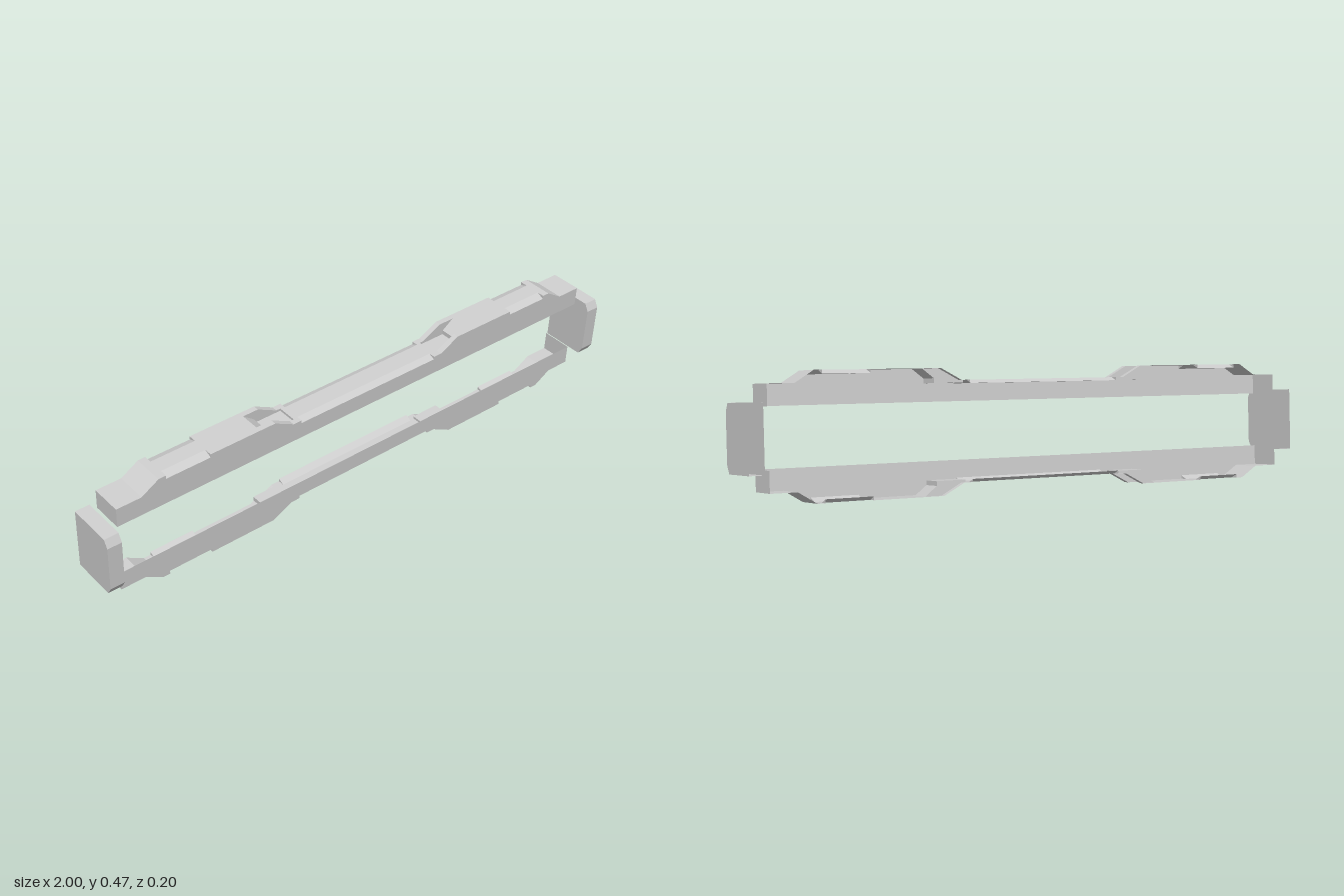
import * as THREE from 'three';

// Half sizes of the rail and its pockets
const HALF_Z = 0.052, POCKET_Z = 0.033, BASE_Y = 0.091, LOW = 0.156, HIGH = 0.1925;

// One half of the rail from the middle outwards: x, height, edge chamfer width, pocket depth
const HALF = [
  [0, LOW, 0.022, 0], [0.27, LOW, 0.022, 0], [0.27, LOW, 0, 0],
  [0.285, LOW, 0, 0], [0.285, LOW, 0, 0.008], [0.3, LOW, 0, 0.008],
  [0.37, HIGH, 0, 0.0445], [0.385, HIGH, 0, 0.0445], [0.385, HIGH, 0, 0.03], [0.425, HIGH, 0, 0],
  [0.605, HIGH, 0, 0], [0.605, HIGH, 0.026, 0], [0.76, HIGH, 0.026, 0], [0.76, HIGH, 0, 0],
  [0.785, HIGH, 0, 0], [0.845, LOW, 0, 0], [0.93, LOW, 0, 0],
];

// Joins equal rings of points along x with flat faces and closes both ends;
// the ring edges listed in open are left without a wall
function loft(rings, open) {
  const pos = [];
  const tri = (a, b, c) => pos.push(...a, ...b, ...c);
  const n = rings[0].length;
  for (let i = 0; i < rings.length - 1; i++) {
    const a = rings[i], b = rings[i + 1];
    for (let j = 0; j < n; j++) {
      if (open.includes(j)) continue;
      const k = (j + 1) % n;
      tri(a[j], a[k], b[k]);
      tri(a[j], b[k], b[j]);
    }
  }
  const first = rings[0], last = rings[rings.length - 1];
  for (let j = 1; j < n - 1; j++) {
    tri(first[0], first[j + 1], first[j]);
    tri(last[0], last[j], last[j + 1]);
  }
  const g = new THREE.BufferGeometry();
  g.setAttribute('position', new THREE.Float32BufferAttribute(pos, 3));
  g.computeVertexNormals();
  return g;
}

// Rail cross-section, running from the back base over the top to the front base
function section([x, h, c, d]) {
  const side = [
    [-HALF_Z, BASE_Y], [-HALF_Z, h - c * 0.45], [-HALF_Z + c, h],
    [-POCKET_Z + Math.max(0, c - 0.019), h], [-POCKET_Z + Math.max(0, c - 0.019), h - d],
  ];
  const other = side.map(([z, y]) => [-z, y]).reverse();
  return [...side, ...other].map(([z, y]) => [x, y, z]);
}

// Thin rail shell, open at the back and towards the middle of the frame
function railGeometry() {
  const mirrored = HALF.slice(1).reverse().map(([x, ...rest]) => [-x, ...rest]);
  return loft([...mirrored, ...HALF].map(section), [0, 9]);
}

// End plate with chamfered front corners, open at the back
function capGeometry() {
  const outline = [
    [-0.079, -0.103], [-0.079, 0.103], [0.0705, 0.103],
    [0.085, 0.077], [0.085, -0.077], [0.0705, -0.103],
  ];
  return loft([-0.024, 0.024].map((x) => outline.map(([z, y]) => [x, y, z])), [0]);
}

export function createModel() {
  const grey = new THREE.MeshStandardMaterial({ color: 0xcccccc, side: THREE.DoubleSide });
  grey.name = 'plainGrey';
  const model = new THREE.Group();
  model.name = 'trimFrame';
  const frame = new THREE.Group();
  frame.name = 'tiltedFrame';
  model.add(frame);

  const add = (name, geometry, x, z) => {
    const mesh = new THREE.Mesh(geometry, grey);
    mesh.name = name;
    mesh.position.set(x, 0, z);
    frame.add(mesh);
    return mesh;
  };

  // Upper rail and its mirror image below
  const rail = railGeometry();
  add('upperRail', rail, 0, -0.015);
  add('lowerRail', rail, 0, -0.018).scale.y = -1;

  // End plates
  const cap = capGeometry();
  add('leftEndPlate', cap, 0.971, 0);
  add('rightEndPlate', cap, -0.971, 0);

  // The whole frame leans forward and rises towards its left
  frame.rotation.set(0.12, 0, 0.05);
  frame.position.y = 0.234;
  return model;
}
